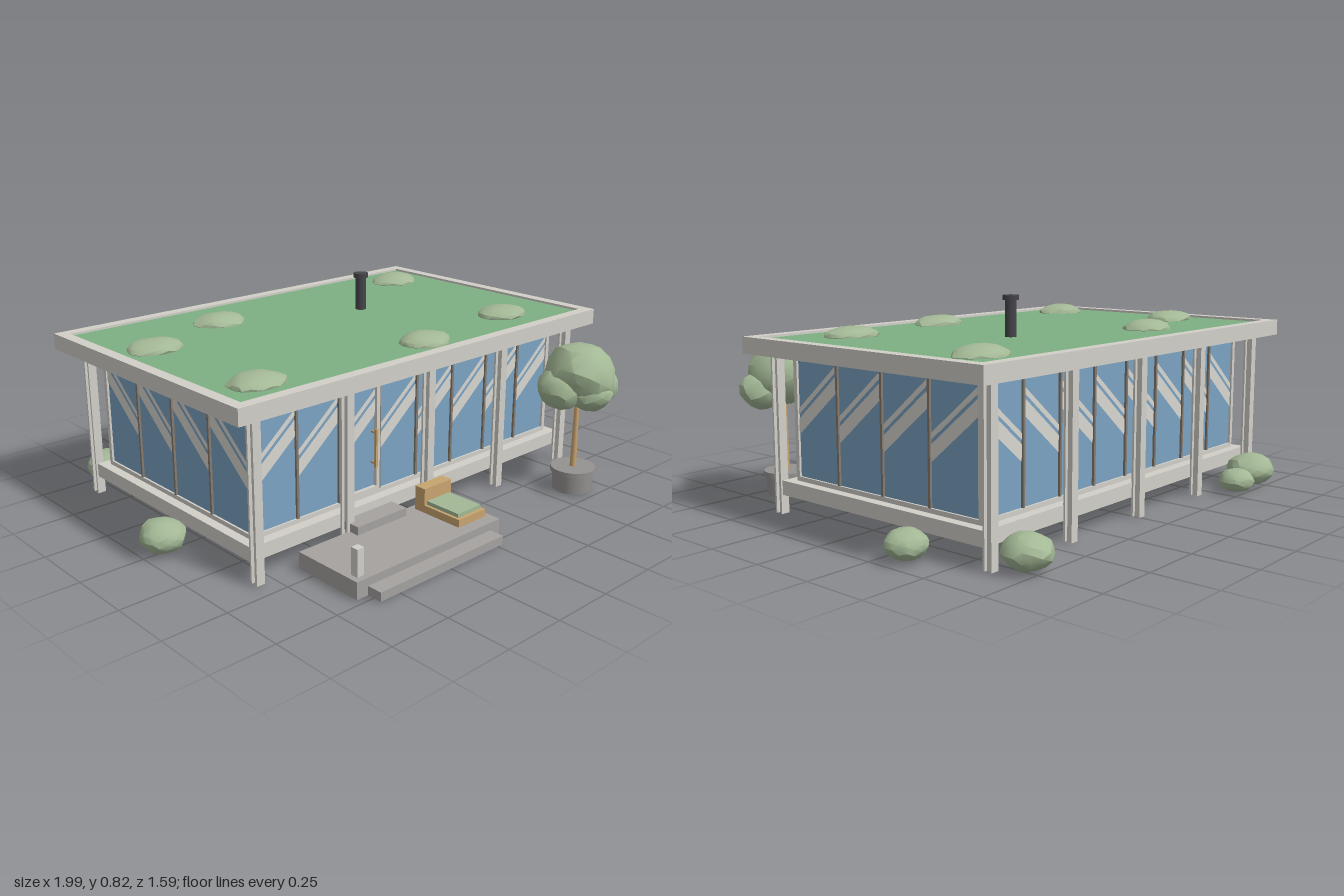
import * as THREE from 'three';
import { mergeVertices, toCreasedNormals } from 'three/addons/utils/BufferGeometryUtils.js';

const mat = (name, color, side = THREE.FrontSide) => {
  const m = new THREE.MeshStandardMaterial({ color, side });
  m.name = name;
  return m;
};

export function createModel() {
  const M = {
    frame: mat('pale painted steel', 0xd2cfc8),
    glass: mat('blue glass', 0x7ba3c2),
    glint: mat('glass reflection', 0xd8d6d0, THREE.DoubleSide),
    stone: mat('grey paving', 0xa5a2a0),
    turf: mat('roof turf', 0x7fb083),
    leaf: mat('sage foliage', 0xa3b895),
    wood: mat('tan wood', 0xc8a470),
    trim: mat('brown metal', 0x857a70),
    dark: mat('dark flue', 0x45444a),
    pot: mat('planter grey', 0x959392),
  };
  const root = new THREE.Group();
  const CX = 0.005, CZ = -0.102; // centre of the pavilion

  const add = (name, geo, m, x = 0, y = 0, z = 0, parent = root) => {
    const mesh = new THREE.Mesh(geo, m);
    mesh.name = name;
    mesh.position.set(x, y, z);
    parent.add(mesh);
    return mesh;
  };
  // box given by its extents on each axis
  const box = (name, m, x0, x1, y0, y1, z0, z1, parent = root) =>
    add(name, new THREE.BoxGeometry(x1 - x0, y1 - y0, z1 - z0), m,
      (x0 + x1) / 2, (y0 + y1) / 2, (z0 + z1) / 2, parent);
  const group = (name) => {
    const g = new THREE.Group();
    g.name = name;
    root.add(g);
    return g;
  };

  // lumpy foliage ball
  let seed = 7;
  const rnd = () => (seed = (seed * 16807) % 2147483647) / 2147483647;
  const foliage = (name, x, y, z, rx, ry, rz, parent = root) => {
    let geo = new THREE.IcosahedronGeometry(1, 2);
    geo.deleteAttribute('normal');
    geo.deleteAttribute('uv');
    geo = mergeVertices(geo, 1e-3);
    const p = geo.attributes.position, v = new THREE.Vector3();
    const a = rnd() * 6, b = rnd() * 6;
    for (let i = 0; i < p.count; i++) {
      v.fromBufferAttribute(p, i);
      const lump = Math.sin(v.x * 3 + a) * Math.sin(v.y * 3.3 + b) * Math.cos(v.z * 3 + a + b);
      v.multiplyScalar(0.95 + 0.07 * lump + 0.07 * (rnd() - 0.5));
      p.setXYZ(i, v.x * rx, v.y * ry, v.z * rz);
    }
    return add(name, toCreasedNormals(geo, 0.5), M.leaf, x, y, z, parent);
  };

  // floor slab
  box('floorSlab', M.frame, -0.825, 0.835, 0.073, 0.128, -0.605, 0.402);

  // roof: slab, raised rim and turf
  const roof = group('roof');
  box('roofSlab', M.frame, -0.92, 0.93, 0.605, 0.65, -0.69, 0.485, roof);
  const rect = (S, w, d) => {
    const s = new S();
    s.moveTo(-w, -d); s.lineTo(w, -d); s.lineTo(w, d); s.lineTo(-w, d); s.closePath();
    return s;
  };
  const rimShape = rect(THREE.Shape, 0.925, 0.5875);
  rimShape.holes.push(rect(THREE.Path, 0.88, 0.5425));
  const rimGeo = new THREE.ExtrudeGeometry(rimShape, { depth: 0.017, bevelEnabled: false });
  rimGeo.rotateX(-Math.PI / 2);
  add('roofRim', rimGeo, M.frame, CX, 0.65, -0.1025, roof);
  box('turf', M.turf, -0.875, 0.885, 0.648, 0.658, -0.645, 0.44, roof);
  [[-0.73, -0.275], [-0.33, -0.425], [-0.705, 0.3], [0.075, 0.33], [0.605, 0.26], [0.715, -0.485]]
    .forEach(([x, z]) => foliage('roofShrub', x, 0.66, z, 0.115, 0.038, 0.092, roof));
  add('flue', new THREE.CylinderGeometry(0.022, 0.022, 0.15, 16), M.dark, 0.24, 0.725, -0.205, roof);
  add('flueCap', new THREE.CylinderGeometry(0.03, 0.03, 0.018, 16), M.dark, 0.24, 0.803, -0.205, roof);

  // H-section columns
  const columns = group('columns');
  for (let i = 0; i < 5; i++) {
    const x = CX + (i - 2) * 0.41;
    for (const z of [0.42, -0.622]) {
      box('columnWeb', M.frame, x - 0.004, x + 0.004, 0, 0.605, z - 0.012, z + 0.012, columns);
      for (const s of [-1, 1]) {
        const f = z + s * 0.0145;
        box('columnFlange', M.frame, x - 0.017, x + 0.017, 0, 0.605, f - 0.004, f + 0.004, columns);
      }
    }
  }

  // glazed walls: glass core with rails, mullions and reflections on each side
  const HX = 0.785, HZ = 0.455, Y0 = 0.128, Y1 = 0.605;
  box('glassCore', M.glass, CX - HX, CX + HX, Y0, Y1, CZ - HZ, CZ + HZ);
  const wall = (name, half, n, turn, x, z, out) => {
    const g = group(name);
    g.position.set(x, 0, z);
    g.rotation.y = turn;
    const w = (2 * half) / n;
    box('bottomRail', M.frame, -half - 0.008, half + 0.008, Y0, 0.145, -0.008, 0.008, g);
    box('topRail', M.frame, -half - 0.008, half + 0.008, 0.59, Y1, -0.008, 0.008, g);
    for (let i = 0; i <= n; i++) {
      const t = i % n ? 0.005 : 0.009;
      const mx = -half + i * w;
      box('mullion', i % n ? M.trim : M.frame, mx - t, mx + t, 0.145, 0.59, -0.009, 0.009, g);
      if (i === n) break;
      const a = mx + 0.006, b = mx + w - 0.006, rise = 0.84 * (b - a);
      for (const [lo, hi] of [[0.3, 0.36], [0.375, 0.398]]) {
        const s = new THREE.Shape();
        s.moveTo(a, lo); s.lineTo(b, lo + rise); s.lineTo(b, hi + rise); s.lineTo(a, hi);
        add('reflection', new THREE.ShapeGeometry(s), M.glint, 0, 0, out * 0.003, g);
      }
    }
  };
  wall('frontWall', HX, 8, 0, CX, CZ + HZ, 1);
  wall('backWall', HX, 8, 0, CX, CZ - HZ, -1);
  wall('leftWall', HZ, 4, Math.PI / 2, CX + HX, CZ, 1);
  wall('rightWall', HZ, 4, Math.PI / 2, CX - HX, CZ, -1);

  // door frame and handle
  const door = group('door');
  for (const x of [-0.381, -0.204])
    box('doorStile', M.frame, x - 0.008, x + 0.008, 0.145, 0.587, 0.353, 0.368, door);
  for (const y of [0.155, 0.579])
    box('doorRail', M.frame, -0.389, -0.196, y - 0.008, y + 0.008, 0.353, 0.368, door);
  box('handle', M.wood, -0.23, -0.22, 0.245, 0.395, 0.374, 0.384, door);
  for (const y of [0.26, 0.38])
    box('handleMount', M.wood, -0.228, -0.222, y - 0.004, y + 0.004, 0.353, 0.376, door);

  // terrace, steps and post
  const terrace = group('terrace');
  box('platform', M.stone, -0.645, 0.07, 0, 0.065, 0.435, 0.73, terrace);
  box('lowerStep', M.stone, -0.595, 0.02, 0, 0.034, 0.73, 0.79, terrace);
  box('doorStep', M.stone, -0.41, -0.165, 0.065, 0.097, 0.403, 0.48, terrace);
  box('post', M.frame, -0.623, -0.593, 0.065, 0.167, 0.677, 0.707, terrace);

  // low lounge seat
  const seat = group('loungeSeat');
  box('seatBase', M.wood, -0.098, 0.046, 0.065, 0.095, 0.46, 0.68, seat);
  box('seatBack', M.wood, -0.098, 0.046, 0.095, 0.16, 0.46, 0.508, seat);
  box('cushion', M.leaf, -0.086, 0.036, 0.095, 0.11, 0.51, 0.665, seat);

  // potted tree
  const tree = group('pottedTree');
  const TX = 0.626, TZ = 0.647;
  add('pot', new THREE.CylinderGeometry(0.082, 0.078, 0.078, 20), M.pot, TX, 0.039, TZ, tree);
  add('potRim', new THREE.CylinderGeometry(0.09, 0.09, 0.02, 20), M.pot, TX, 0.086, TZ, tree);
  add('trunk', new THREE.CylinderGeometry(0.009, 0.013, 0.32, 10), M.wood, TX, 0.25, TZ, tree);
  foliage('crown', 0.63, 0.485, 0.645, 0.145, 0.13, 0.15, tree);
  foliage('crownLobe', 0.55, 0.435, 0.62, 0.1, 0.085, 0.1, tree);
  foliage('crownLobe', 0.715, 0.425, 0.67, 0.092, 0.08, 0.09, tree);
  foliage('crownLobe', 0.63, 0.425, 0.7, 0.1, 0.08, 0.09, tree);

  // shrubs on the ground
  [[-0.915, 0.06, 0, 0.088, 0.065, 0.09], [0.918, 0.053, -0.34, 0.078, 0.056, 0.08],
    [-0.715, 0.064, -0.695, 0.1, 0.068, 0.1], [-0.565, 0.045, -0.715, 0.074, 0.05, 0.074],
    [0.738, 0.06, -0.7, 0.092, 0.064, 0.094]]
    .forEach((s) => foliage('groundShrub', ...s));

  return root;
}
